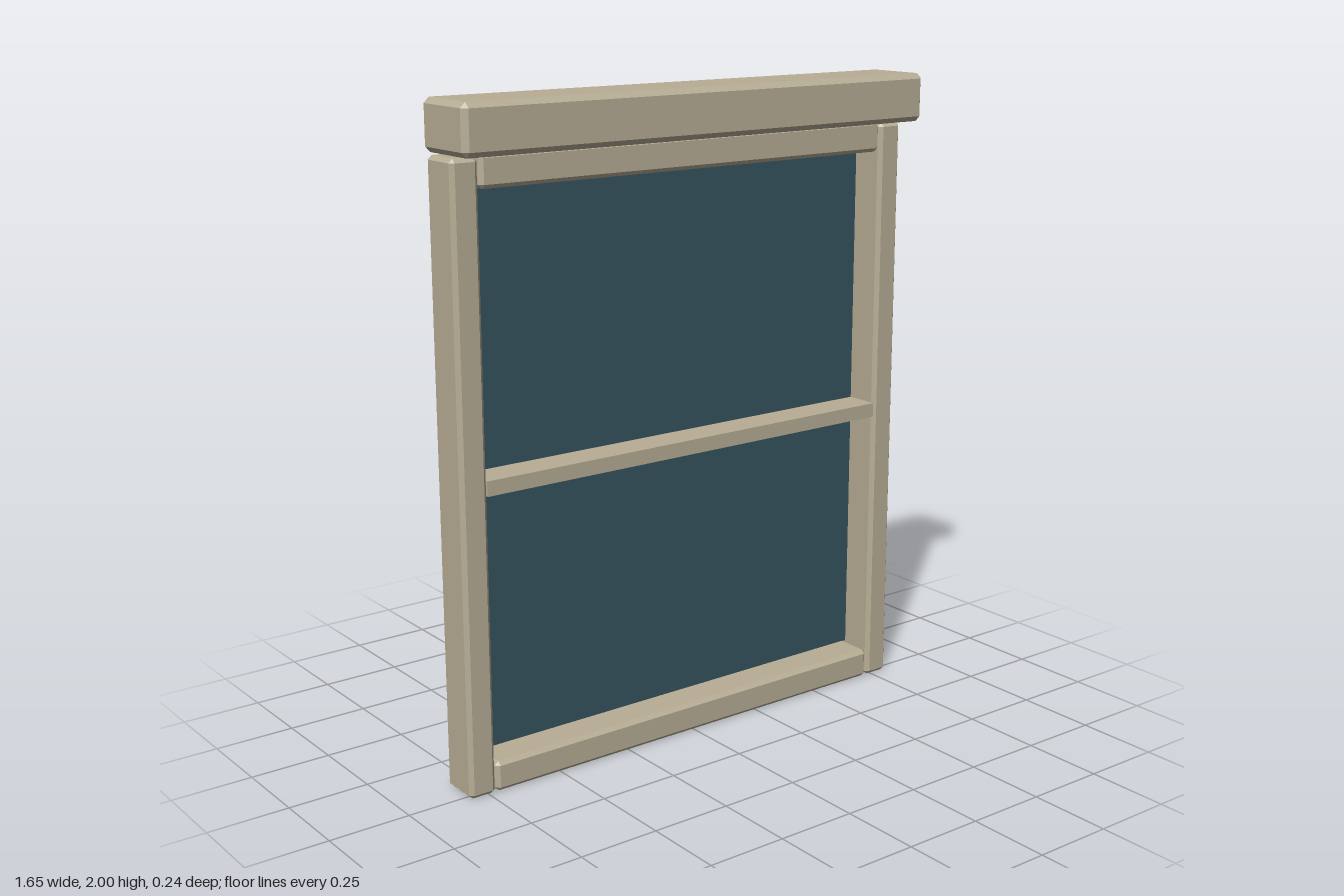
import * as THREE from 'three';
import { ConvexGeometry } from 'three/addons/geometries/ConvexGeometry.js';

// Box with all twelve edges chamfered, given by its min and max corners
function chamferedBox(min, max, c) {
  const half = max.map((v, i) => (v - min[i]) / 2);
  const points = [];
  for (const sx of [-1, 1]) for (const sy of [-1, 1]) for (const sz of [-1, 1]) {
    for (let axis = 0; axis < 3; axis++) {
      const [x, y, z] = half.map((h, i) => (i === axis ? h : h - c));
      points.push(new THREE.Vector3(sx * x, sy * y, sz * z));
    }
  }
  return new ConvexGeometry(points);
}

export function createModel() {
  const group = new THREE.Group();
  group.name = 'window';
  const frame = new THREE.MeshStandardMaterial({ color: 0xb8ae96, flatShading: true });
  const glass = new THREE.MeshStandardMaterial({ color: 0x36545e, flatShading: true });

  function add(name, min, max, chamfer, material) {
    const geometry = chamfer
      ? chamferedBox(min, max, chamfer)
      : new THREE.BoxGeometry(...max.map((v, i) => v - min[i]));
    const mesh = new THREE.Mesh(geometry, material);
    mesh.name = name;
    mesh.position.set(...max.map((v, i) => (v + min[i]) / 2));
    group.add(mesh);
  }

  const back = -0.102, front = 0.03;

  // Side posts
  add('leftPost', [0.728, 0, back], [0.814, 1.845, front], 0.012, frame);
  add('rightPost', [-0.814, 0, back], [-0.728, 1.845, front], 0.012, frame);

  // Bottom and top rails between the posts, the top one meeting the lintel
  add('bottomRail', [-0.725, 0, back], [0.725, 0.093, front], 0.012, frame);
  add('topRail', [-0.725, 1.757, back], [0.725, 1.853, front], 0.012, frame);

  // Thin glazing bar across the middle
  add('middleBar', [-0.728, 0.9, -0.08], [0.728, 0.945, 0.028], 0, frame);

  // Overhanging lintel
  add('lintel', [-0.823, 1.853, back], [0.823, 2, 0.118], 0.016, frame);

  // Single pane set into the back of the frame and standing proud of it
  add('glassPane', [-0.728, 0.092, -0.118], [0.728, 1.758, -0.08], 0, glass);

  return group;
}
